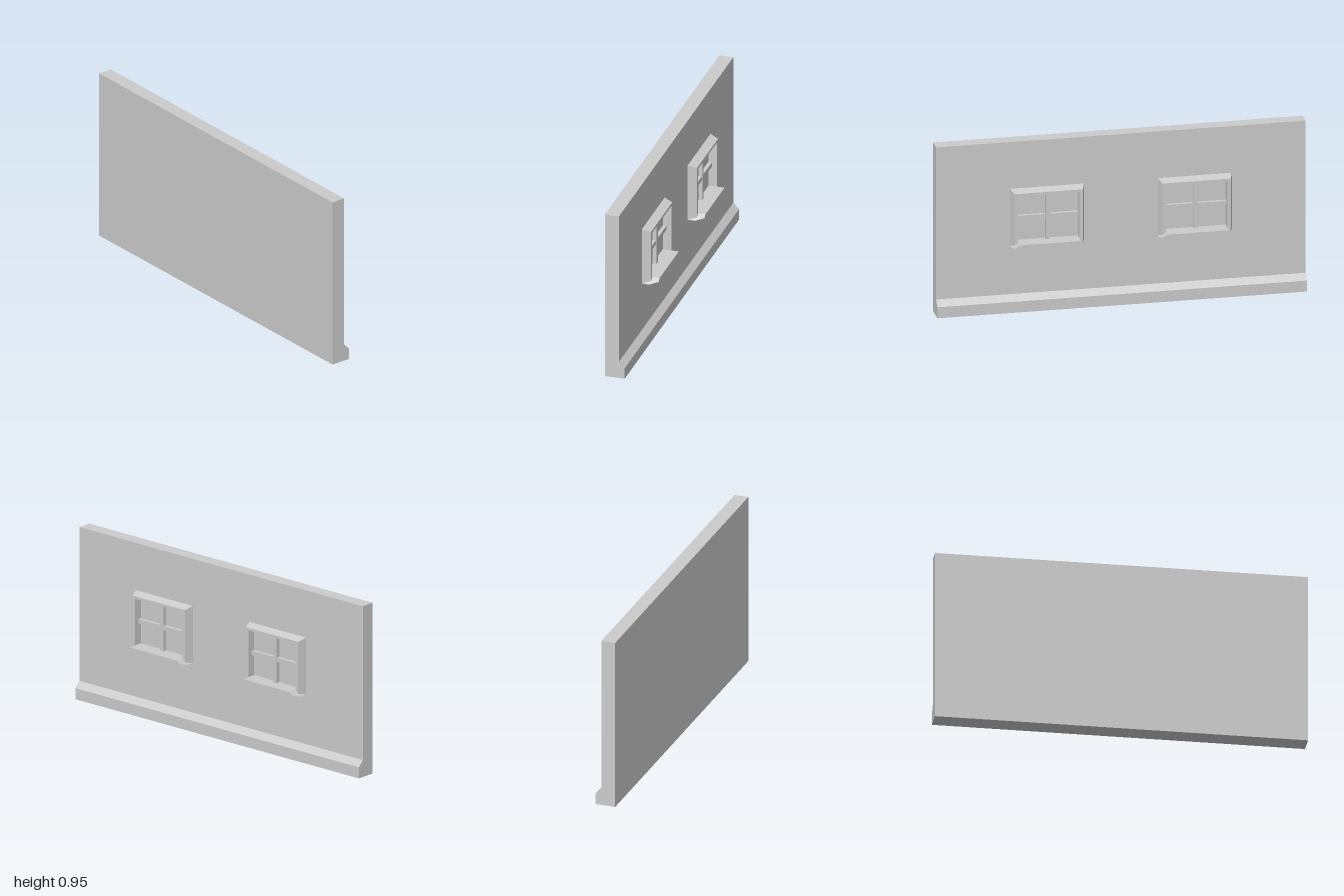
import * as THREE from 'three';

const material = new THREE.MeshStandardMaterial({ color: 0xcccccc, flatShading: true });
const WALL = -0.007; // x of the wall face

function part(name, geometry) {
  const mesh = new THREE.Mesh(geometry, material);
  mesh.name = name;
  return mesh;
}

// Four-cornered section at x: bottom y0 and top y1, with half widths w0 and w1 along z
const section = (x, y0, y1, w0, w1 = w0) =>
  [[x, y0, -w0], [x, y1, -w1], [x, y1, w1], [x, y0, w0]];

// Joins successive sections with quads, optionally capping the last one
function loft(sections, capped) {
  const pos = [];
  const quad = (a, b, c, d) => pos.push(...a, ...b, ...c, ...a, ...c, ...d);
  for (let s = 0; s < sections.length - 1; s++) {
    const p = sections[s], q = sections[s + 1];
    for (let i = 0; i < 4; i++) {
      const j = (i + 1) % 4;
      quad(p[i], p[j], q[j], q[i]);
    }
  }
  if (capped) quad(...sections[sections.length - 1]);
  const geometry = new THREE.BufferGeometry();
  geometry.setAttribute('position', new THREE.Float32BufferAttribute(pos, 3));
  geometry.computeVertexNormals();
  return geometry;
}

function bar(name, height, width, depth, y) {
  const mesh = part(name, new THREE.BoxGeometry(depth, height, width));
  mesh.position.set(WALL + depth / 2, y, 0);
  return mesh;
}

function createWindow(name, z) {
  const group = new THREE.Group();
  group.name = name;
  group.position.z = z;

  // Frame with tapered outside and straight reveal
  group.add(part('windowFrame', loft([
    section(WALL, 0.37, 0.69, 0.2),
    section(0.04, 0.385, 0.675, 0.185),
    section(0.04, 0.4, 0.661, 0.167),
    section(WALL, 0.4, 0.661, 0.167),
  ], false)));

  // Projecting sill with mitred ends
  group.add(part('windowSill', loft([
    section(WALL, 0.37, 0.4, 0.2, 0.167),
    section(0.035, 0.37, 0.4, 0.2, 0.167),
    section(0.082, 0.385, 0.4, 0.185, 0.167),
  ], true)));

  // Crossed glazing bars
  group.add(bar('verticalBar', 0.261, 0.022, 0.022, 0.5305));
  group.add(bar('horizontalBar', 0.024, 0.334, 0.02, 0.529));
  return group;
}

export function createModel() {
  const model = new THREE.Group();
  model.name = 'windowedWall';

  // Wall with a chamfered plinth along its foot
  const profile = new THREE.Shape([
    [-0.085, 0], [0.025, 0], [0.025, 0.062], [WALL, 0.095], [WALL, 0.954], [-0.085, 0.954],
  ].map(([x, y]) => new THREE.Vector2(x, y)));
  const wall = new THREE.ExtrudeGeometry(profile, { depth: 2, bevelEnabled: false });
  wall.translate(0, 0, -1);
  model.add(part('wallWithPlinth', wall));

  model.add(createWindow('frontWindow', 0.4), createWindow('rearWindow', -0.4));
  return model;
}
